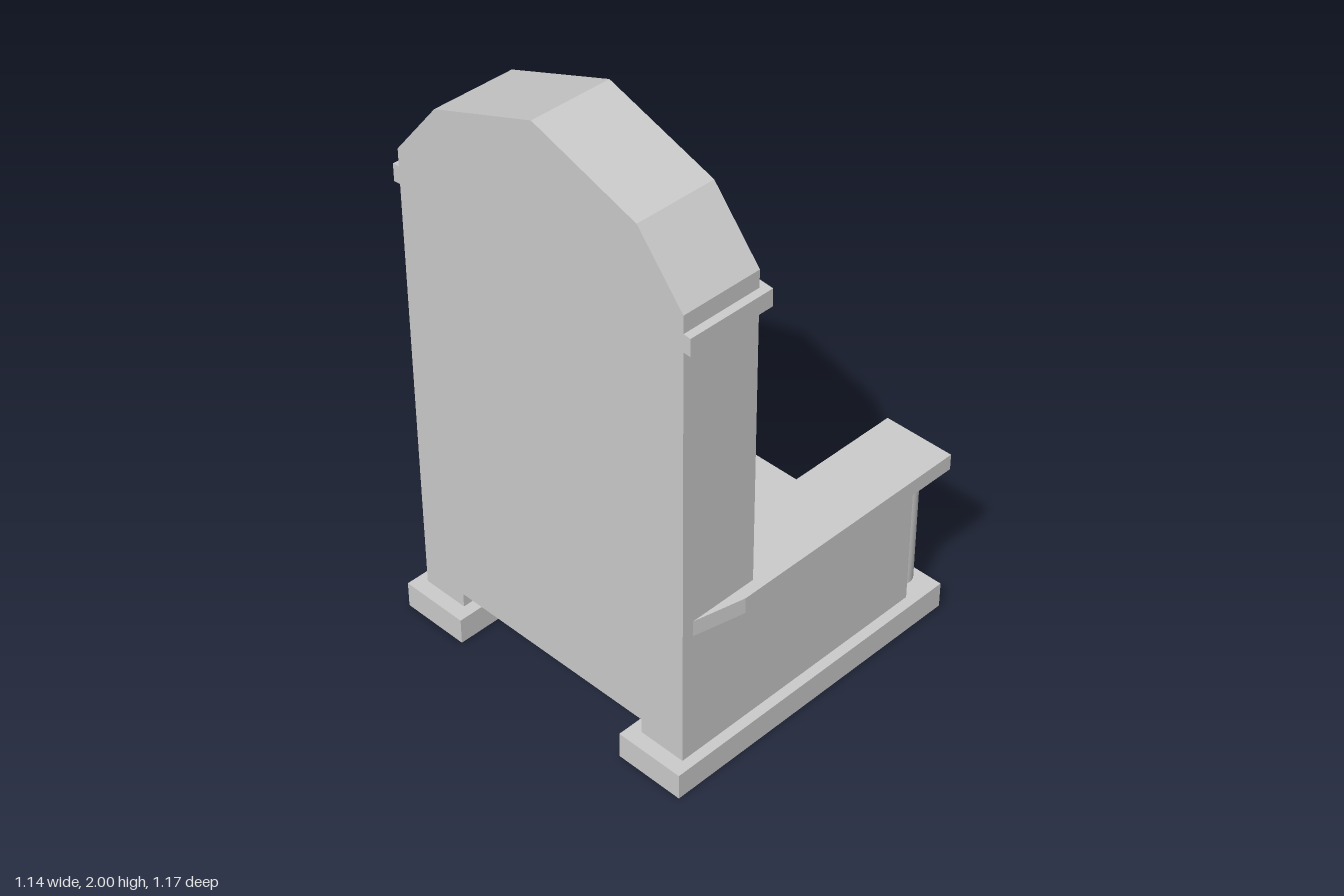
import * as THREE from 'three';

const material = new THREE.MeshStandardMaterial({ color: 0xcccccc });

export function createModel() {
  const group = new THREE.Group();

  const add = (name, geometry) => {
    const mesh = new THREE.Mesh(geometry, material);
    mesh.name = name;
    group.add(mesh);
    return mesh;
  };

  // box given by its extents
  const box = (name, x0, x1, y0, y1, z0, z1) =>
    add(name, new THREE.BoxGeometry(x1 - x0, y1 - y0, z1 - z0)
      .translate((x0 + x1) / 2, (y0 + y1) / 2, (z0 + z1) / 2));

  const toShape = (points) => new THREE.Shape(points.map(([a, b]) => new THREE.Vector2(a, b)));

  // outline in (z, y), extruded along x
  const extrudeX = (name, points, x0, x1) =>
    add(name, new THREE.ExtrudeGeometry(toShape(points.map(([z, y]) => [-z, y])),
      { depth: x1 - x0, bevelEnabled: false }).rotateY(Math.PI / 2).translate(x0, 0, 0));

  // outline in (x, z), extruded along y
  const extrudeY = (name, points, y0, y1) =>
    add(name, new THREE.ExtrudeGeometry(toShape(points.map(([x, z]) => [x, -z])),
      { depth: y1 - y0, bevelEnabled: false }).rotateX(-Math.PI / 2).translate(0, y0, 0));

  // tall back with a faceted top
  const mirrored = (half) => [...half, ...half.slice().reverse().filter(([z]) => z !== 0).map(([z, y]) => [-z, y])];
  const outer = [[0.545, 0.09], [0.545, 1.665], [0.38, 1.865], [0, 2]];
  const foot = [[-0.38, 0.09], [-0.38, 0.14], [0.38, 0.14], [0.38, 0.09]];
  extrudeX('backPanel', [...mirrored(outer), ...foot], -0.52, -0.30);

  // pillars and arch framing the recess
  const inner = [[0.38, 0.09], [0.38, 1.62], [0.2, 1.735], [0, 1.8]];
  extrudeX('archFrame', [...mirrored(outer), ...mirrored(inner).reverse()], -0.30, -0.24);

  // seat board and front apron, hollow below
  box('seat', -0.30, 0.41, 0.31, 0.33, -0.38, 0.38);
  box('apron', 0.39, 0.41, 0.14, 0.31, -0.38, 0.38);

  for (const s of [1, -1]) {
    const side = s > 0 ? 'left' : 'right';
    const span = (a, b) => (s > 0 ? [a, b] : [-b, -a]);

    box(side + 'Plinth', -0.57, 0.57, 0, 0.09, ...span(0.34, 0.58));
    box(side + 'SidePanel', -0.30, 0.45, 0.09, 0.55, ...span(0.38, 0.545));

    // armrest narrowing into the back
    extrudeY(side + 'Armrest', [
      [0.57, 0.335], [0.57, 0.583], [-0.31, 0.583], [-0.48, 0.545], [-0.48, 0.4], [-0.30, 0.4], [-0.30, 0.335],
    ].map(([x, z]) => [x, s * z]), 0.545, 0.6);

    // round column under the armrest
    add(side + 'Column', new THREE.CylinderGeometry(0.045, 0.045, 0.46, 24).translate(0.51, 0.32, s * 0.463));

    // slightly tilted pillar capital
    extrudeX(side + 'Capital',
      [[0.335, 1.565], [0.335, 1.625], [0.57, 1.605], [0.57, 1.547]].map(([z, y]) => [s * z, y]),
      -0.30, -0.215);
    extrudeX(side + 'CapitalReturn',
      [[0.5, 1.551], [0.5, 1.611], [0.57, 1.605], [0.57, 1.547]].map(([z, y]) => [s * z, y]),
      -0.52, -0.30);
  }

  return group;
}
